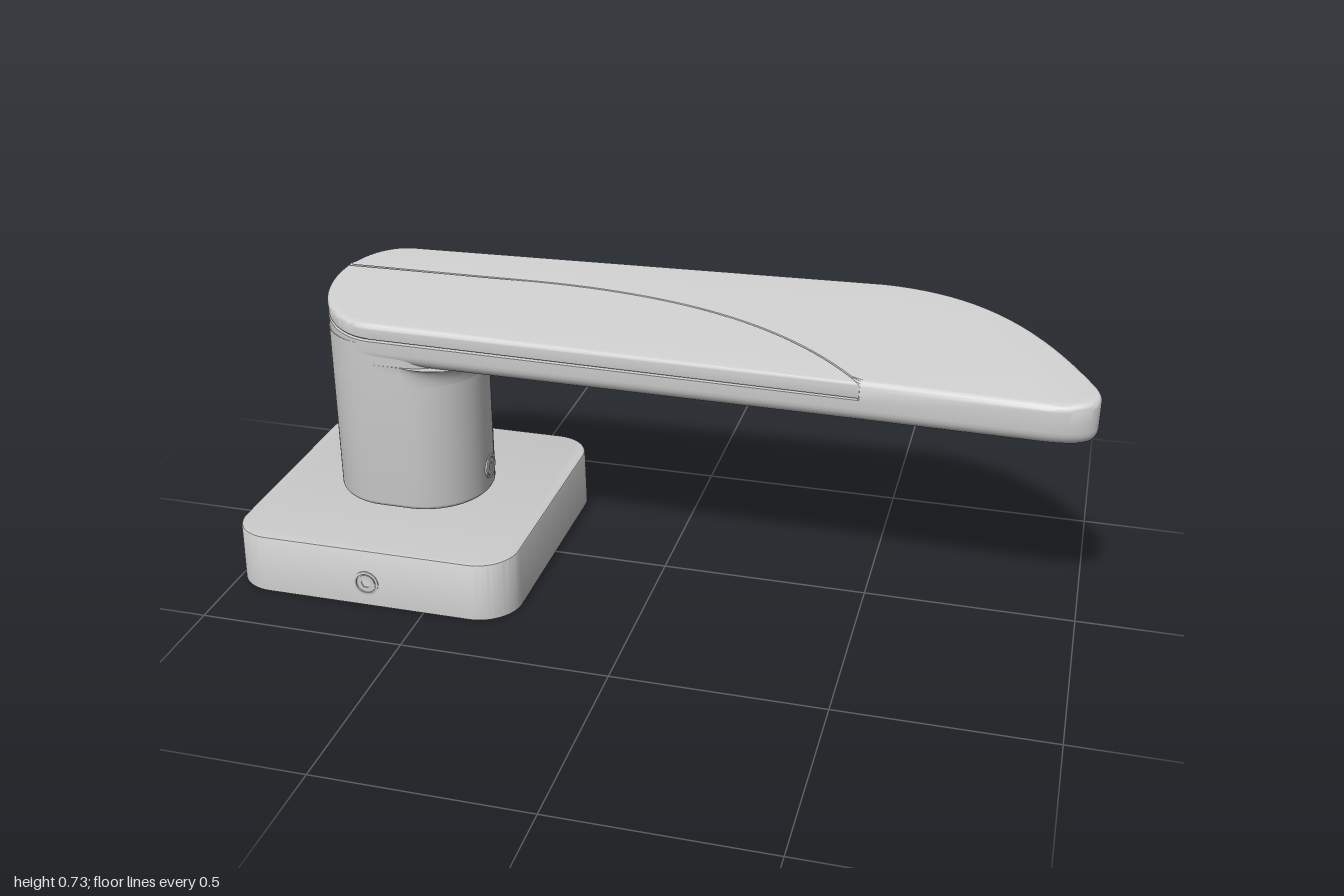
import * as THREE from 'three';
import { toCreasedNormals } from 'three/addons/utils/BufferGeometryUtils.js';

const material = new THREE.MeshStandardMaterial({ color: 0xcccccc });
const V = (x, z) => new THREE.Vector2(x, z);

function add(parent, name, geometry) {
  const mesh = new THREE.Mesh(geometry, material);
  mesh.name = name;
  parent.add(mesh);
  return mesh;
}

// Plan outlines hold (x, z) points; duplicates are dropped and the winding is made uniform
function clean(points) {
  const out = points.filter((p, i) => p.distanceTo(points[(i + 1) % points.length]) > 1e-4);
  return THREE.ShapeUtils.area(out) > 0 ? out.reverse() : out;
}

// Moves an outline inwards; a point's weight w scales the move
function insetOutline(outline, d) {
  const n = outline.length;
  return outline.map((p, i) => {
    const a = p.clone().sub(outline[(i + n - 1) % n]).normalize();
    const b = outline[(i + 1) % n].clone().sub(p).normalize();
    const t = a.add(b).normalize();
    const k = d * (p.w ?? 1);
    return V(p.x + t.y * k, p.y - t.x * k);
  });
}

// Closed solid through layers of [inset, height], height being a number or a rule of z
function loft(outline, layers) {
  const first = layers[0], last = layers[layers.length - 1];
  const all = [[first[0] + 0.002, first[1]], ...layers, [last[0] + 0.002, last[1]]];
  const n = outline.length, pos = [], idx = [];
  const loops = all.map(([d, y]) => {
    const loop = insetOutline(outline, d);
    loop.forEach((p) => pos.push(p.x, typeof y === 'function' ? y(p.y) : y, p.y));
    return loop;
  });
  for (let k = 0; k < all.length - 1; k++) {
    for (let i = 0; i < n; i++) {
      const a = k * n + i, b = k * n + (i + 1) % n;
      idx.push(a, b, b + n, a, b + n, a + n);
    }
  }
  const top = (all.length - 1) * n;
  for (const [a, b, c] of THREE.ShapeUtils.triangulateShape(loops[0], [])) idx.push(a, b, c);
  for (const [a, b, c] of THREE.ShapeUtils.triangulateShape(loops[all.length - 1], [])) idx.push(top + c, top + b, top + a);
  const g = new THREE.BufferGeometry();
  g.setAttribute('position', new THREE.Float32BufferAttribute(pos, 3));
  g.setIndex(idx);
  return toCreasedNormals(g, 0.6);
}

// Quarter-round edge layers at the bottom or the top of a solid
const roundBottom = (r, y, steps = 5) => Array.from({ length: steps + 1 }, (_, i) => {
  const t = (i / steps) * Math.PI / 2;
  return [r * (1 - Math.sin(t)), y + r * (1 - Math.cos(t))];
});
const roundTop = (r, yRule, steps = 4) => Array.from({ length: steps + 1 }, (_, i) => {
  const t = (i / steps) * Math.PI / 2;
  return [r * (1 - Math.cos(t)), (z) => yRule(z) - r * (1 - Math.sin(t))];
});

function roundedRect(cx, hx, hz, r) {
  const s = new THREE.Shape();
  [[1, 1], [-1, 1], [-1, -1], [1, -1]].forEach(([sx, sz], i) =>
    s.absarc(cx + sx * (hx - r), sz * (hz - r), r, i * Math.PI / 2, (i + 1) * Math.PI / 2, false));
  return clean(s.getPoints(12));
}

// Socket screw facing +z
function screw(name) {
  const g = new THREE.Group();
  g.name = name;
  const rim = [[0.031, -0.01], [0.031, 0.002], [0.029, 0.003], [0.025, 0.003], [0.023, -0.006]].map(([r, y]) => V(r, y));
  add(g, 'screwRim', toCreasedNormals(new THREE.LatheGeometry(rim, 32).rotateX(Math.PI / 2), 0.5));
  const head = new THREE.Shape().absarc(0, 0, 0.022, 0, Math.PI * 2);
  head.holes.push(new THREE.Path(Array.from({ length: 6 }, (_, i) => V(0.012 * Math.cos(i * Math.PI / 3), 0.012 * Math.sin(i * Math.PI / 3)))));
  add(g, 'screwHead', new THREE.ExtrudeGeometry(head, { depth: 0.012, bevelEnabled: false }).translate(0, 0, -0.01));
  return g;
}

export function createModel() {
  const model = new THREE.Group();
  model.name = 'doorHandle';
  const cx = -0.643;

  // Square rose, hollow underneath
  const rose = new THREE.Group();
  rose.name = 'rose';
  model.add(rose);
  add(rose, 'roseCover', loft(roundedRect(cx, 0.357, 0.357, 0.1),
    [[0.025, 0.115], [0.025, 0], [0, 0], [0.003, 0.141], [0.005, 0.145], [0.009, 0.147]]));

  // Mounting plate with screw holes and curved slots
  const plate = new THREE.Shape().absarc(0, 0, 0.328, 0, Math.PI * 2);
  plate.holes.push(new THREE.Path().absarc(0, 0, 0.165, 0, Math.PI * 2, true));
  for (let i = 0; i < 8; i++) {
    const a = (i + 0.5) * Math.PI / 4;
    plate.holes.push(new THREE.Path().absarc(0.225 * Math.cos(a), 0.225 * Math.sin(a), 0.017, 0, Math.PI * 2, true));
  }
  for (let i = 0; i < 4; i++) {
    const a = i * Math.PI / 2;
    plate.holes.push(new THREE.Path().absarc(0, 0, 0.3, a - 0.3, a + 0.3, false).absarc(0, 0, 0.272, a + 0.3, a - 0.3, true).closePath());
  }
  const extrudeDown = (shape, depth, y) => toCreasedNormals(
    new THREE.ExtrudeGeometry(shape, { depth, bevelEnabled: false, curveSegments: 48 })
      .rotateX(Math.PI / 2).translate(cx, y, 0), 0.5);
  add(rose, 'mountingPlate', extrudeDown(plate, 0.025, 0.035));

  // Spindle hub
  const ring = new THREE.Shape().absarc(0, 0, 0.145, 0, Math.PI * 2);
  ring.holes.push(new THREE.Path().absarc(0, 0, 0.105, 0, Math.PI * 2, true));
  add(rose, 'bearingRing', extrudeDown(ring, 0.1, 0.115));
  const hub = new THREE.Shape().absarc(0, 0, 0.095, 0, Math.PI * 2);
  hub.holes.push(new THREE.Path(Array.from({ length: 8 }, (_, i) => {
    const r = i % 2 ? 0.045 : 0.062;
    return V(r * Math.cos(i * Math.PI / 4), r * Math.sin(i * Math.PI / 4));
  })));
  add(rose, 'spindleHub', extrudeDown(hub, 0.09, 0.115));

  // Collar and post
  add(model, 'collar', new THREE.CylinderGeometry(0.124, 0.124, 0.04, 48).translate(cx, 0.155, 0));
  const postOutline = roundedRect(cx, 0.192, 0.159, 0.155);
  add(model, 'post', loft(postOutline, [...roundBottom(0.012, 0.159), [0, 0.592]]));

  // Fillet where the post runs into the lever
  const filletOutline = postOutline.map((p) => {
    const q = p.clone();
    q.w = THREE.MathUtils.clamp((p.x + 0.61) / 0.16, 0, 1);
    return q;
  });
  add(model, 'postFillet', loft(filletOutline, Array.from({ length: 7 }, (_, i) => {
    const t = (i / 6) * Math.PI / 2;
    return [-0.05 * (1 - Math.cos(t)), 0.49 + 0.05 * Math.sin(t)];
  })));

  // Lever outline in two runs, meeting where the inlay starts and ends
  const a0 = Math.PI + 0.419, hx = -0.675;
  const front = new THREE.Path().absarc(hx, 0, 0.16, a0, Math.PI / 2, true);
  front.lineTo(0.485, 0.179);
  const back = new THREE.Path().moveTo(0.485, 0.179);
  back.lineTo(0.88, 0.189);
  back.bezierCurveTo(0.985, 0.19, 1.02, 0.15, 0.985, 0.1);
  back.bezierCurveTo(0.86, -0.07, 0.72, -0.185, 0.48, -0.19);
  back.lineTo(hx, -0.16);
  back.absarc(hx, 0, 0.16, Math.PI * 1.5, a0, true);
  const frontPts = front.getPoints(20), backPts = back.getPoints(20);
  const start = frontPts[0], end = frontPts[frontPts.length - 1];

  // Seam: straight along the lever, then sweeping to the front edge
  const seam = new THREE.Path().moveTo(end.x, end.y);
  seam.bezierCurveTo(0.31, 0.02, 0.06, -0.065, -0.34, -0.065);
  seam.lineTo(start.x, start.y);
  const seamPts = seam.getPoints(24).slice(1, -1);
  seamPts.forEach((p) => { p.w = 0.15; });

  const topPlane = (z) => 0.683 - 0.265 * z;
  const floorPlane = (z) => topPlane(z) - 0.041;
  const lever = new THREE.Group();
  lever.name = 'lever';
  model.add(lever);
  add(lever, 'leverBody', loft(clean([...frontPts, ...backPts]), [...roundBottom(0.035, 0.537, 6), [0, floorPlane]]));
  const mainTop = clean([...backPts, ...seamPts.slice().reverse()]);
  add(lever, 'leverTop', loft(mainTop, [[0, (z) => floorPlane(z) - 0.002], ...roundTop(0.014, topPlane)]));
  const inlay = clean([...frontPts, ...seamPts]);
  add(lever, 'inlay', loft(inlay.map((p) => Object.assign(p.clone(), { w: p.w })),
    [[0.003, (z) => floorPlane(z) + 0.004], [0.001, (z) => floorPlane(z) + 0.007], ...roundTop(0.012, topPlane)]));

  // Fixing screws on the rose, post and lever underside
  const roseScrew = screw('roseScrew');
  roseScrew.position.set(cx, 0.06, 0.356);
  const postScrew = screw('postScrew');
  postScrew.position.set(-0.451, 0.222, 0);
  postScrew.rotation.y = Math.PI / 2;
  const leverScrew = screw('leverScrew');
  leverScrew.position.set(0.27, 0.537, 0);
  leverScrew.rotation.x = Math.PI / 2;
  model.add(roseScrew, postScrew, leverScrew);
  return model;
}
